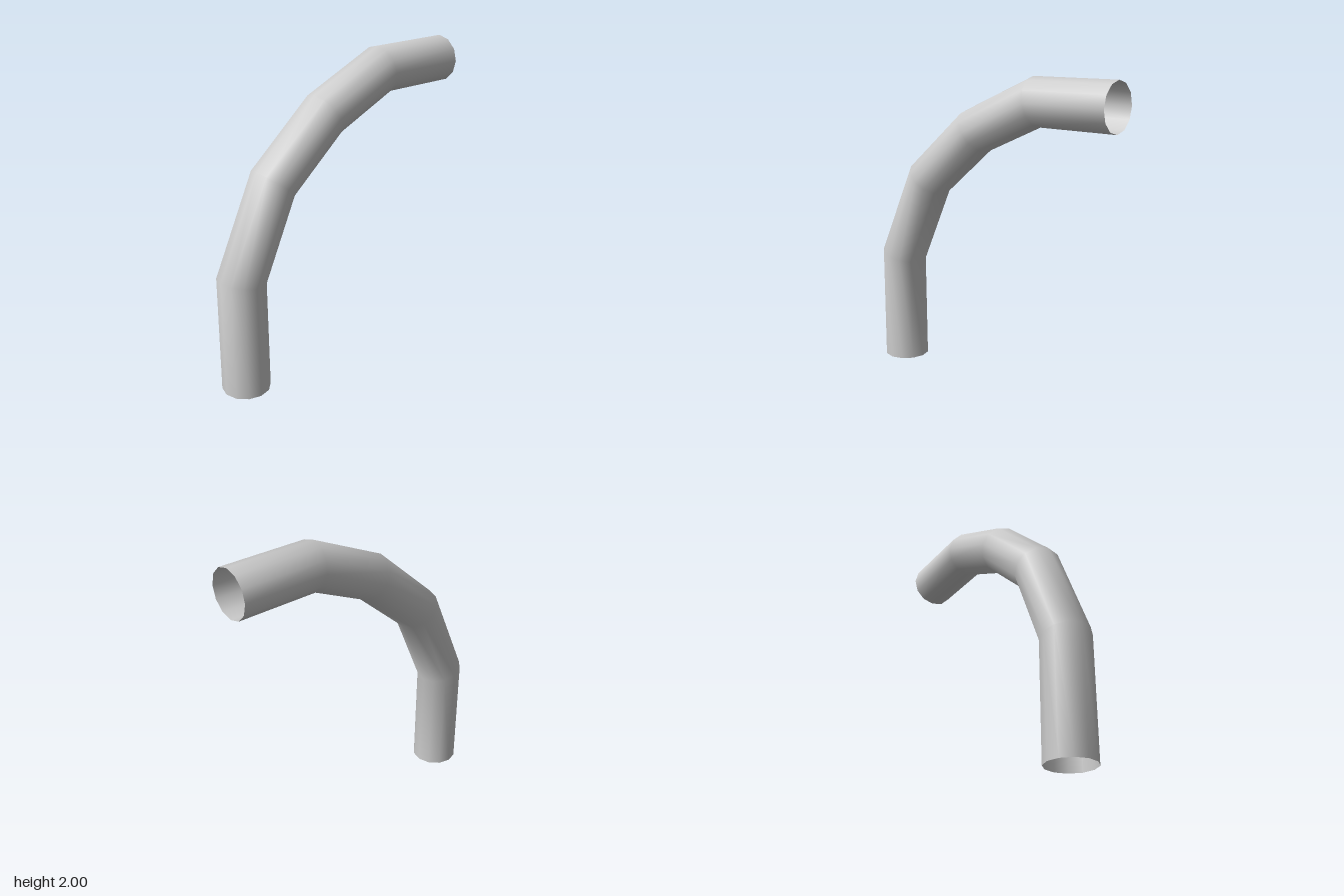
import * as THREE from 'three';

const SIDES = 12;
const HALF_DEPTH = 0.153;

// Mitred cross-sections along the bend: [outer x, outer y, inner x, inner y]
const SECTIONS = [
  [-0.91, 0, -0.606, 0],
  [-0.906, 0.77, -0.61, 0.70],
  [-0.62, 1.388, -0.385, 1.20],
  [-0.18, 1.77, -0.015, 1.517],
  [0.335, 2.0, 0.39, 1.70],
  [0.91, 2.0, 0.91, 1.697],
];

// Open tube skinned over the elliptical cross-sections
function bentTube(sections) {
  const positions = [];
  const indices = [];
  sections.forEach(([ox, oy, ix, iy], i) => {
    for (let j = 0; j < SIDES; j++) {
      const a = (j / SIDES) * Math.PI * 2;
      const t = (1 - Math.cos(a)) / 2; // 0 on the outer side, 1 on the inner side
      positions.push(ox + (ix - ox) * t, oy + (iy - oy) * t, Math.sin(a) * HALF_DEPTH);
      if (i === sections.length - 1) continue;
      const p = i * SIDES + j;
      const q = i * SIDES + ((j + 1) % SIDES);
      indices.push(p, q, p + SIDES, q, q + SIDES, p + SIDES);
    }
  });
  const geometry = new THREE.BufferGeometry();
  geometry.setAttribute('position', new THREE.Float32BufferAttribute(positions, 3));
  geometry.setIndex(indices);
  geometry.computeVertexNormals();
  return geometry;
}

export function createModel() {
  const group = new THREE.Group();
  group.name = 'bentPipe';

  const greyMetal = new THREE.MeshStandardMaterial({ color: 0xcccccc, side: THREE.DoubleSide });
  greyMetal.name = 'light grey';

  const pipe = new THREE.Mesh(bentTube(SECTIONS), greyMetal);
  pipe.name = 'pipe';
  group.add(pipe);
  return group;
}
